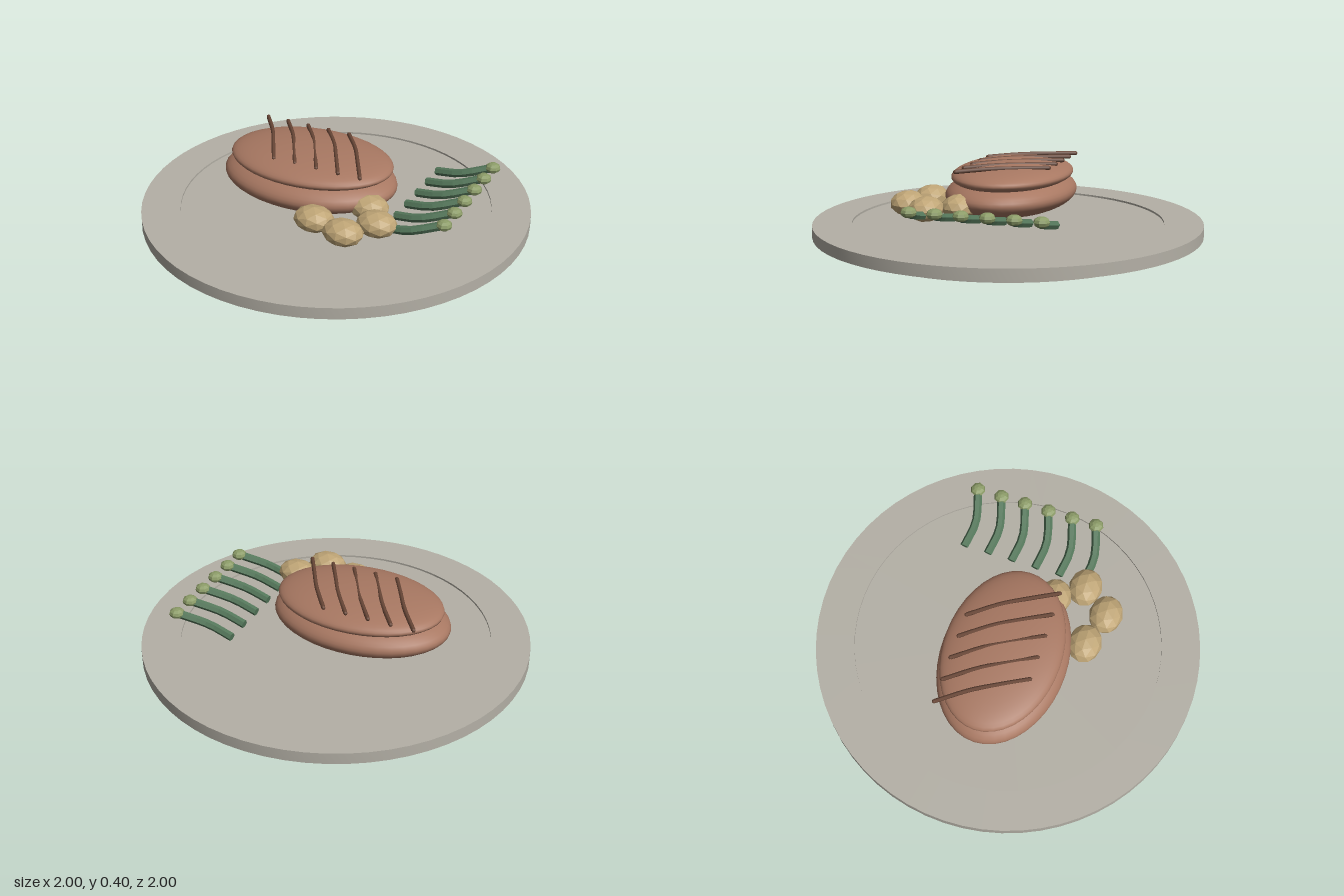
import * as THREE from 'three';
import { toCreasedNormals } from 'three/addons/utils/BufferGeometryUtils.js';

const paint = (name, color, extra = {}) => {
  const m = new THREE.MeshStandardMaterial({ color, ...extra });
  m.name = name;
  return m;
};

export function createModel() {
  const stone = paint('stone', 0xb4b0a6);
  const meat = paint('meat', 0xa87862);
  const char = paint('char', 0x6a4838);
  const potatoSkin = paint('potatoSkin', 0xbfa576, { flatShading: true });
  const stalkGreen = paint('stalkGreen', 0x56795c, { flatShading: true, side: THREE.DoubleSide });
  const tipGreen = paint('tipGreen', 0x8c9c68, { flatShading: true });

  const model = new THREE.Group();
  model.name = 'dinnerPlate';
  const add = (parent, name, geometry, material, position = [0, 0, 0], scale = [1, 1, 1]) => {
    const mesh = new THREE.Mesh(geometry, material);
    mesh.name = name;
    mesh.position.set(...position);
    mesh.scale.set(...scale);
    parent.add(mesh);
    return mesh;
  };
  const group = (name) => {
    const g = new THREE.Group();
    g.name = name;
    model.add(g);
    return g;
  };

  // Plate: stepped foot, broad rim and a very shallow well
  const profile = [[0, 0], [0.87, 0], [0.87, 0.04], [1, 0.04], [1, 0.1], [0.8, 0.1], [0.8, 0.09], [0, 0.09]]
    .map(([x, y]) => new THREE.Vector2(x, y));
  add(model, 'plate', toCreasedNormals(new THREE.LatheGeometry(profile, 64), 0.5), stone);

  // Steak: two stacked flattened ellipsoids
  const steak = group('steak');
  const ball = new THREE.SphereGeometry(1, 40, 24);
  add(steak, 'steakBottom', ball, meat, [-0.135, 0.23, 0.025], [0.47, 0.115, 0.325]);
  add(steak, 'steakTop', ball, meat, [-0.13, 0.325, 0.017], [0.44, 0.07, 0.3]);

  // Grill marks: gently bowed diagonal bars, half sunk into the meat
  const marks = group('grillMarks');
  const markPath = new THREE.CatmullRomCurve3([
    new THREE.Vector3(-0.13, 0.379, -0.21),
    new THREE.Vector3(-0.02, 0.386, -0.06),
    new THREE.Vector3(0.05, 0.386, 0.06),
    new THREE.Vector3(0.13, 0.378, 0.2),
  ]);
  const markGeometry = new THREE.TubeGeometry(markPath, 12, 0.011, 6);
  const markCap = new THREE.SphereGeometry(0.011, 6, 4);
  for (let i = 0; i < 5; i++) {
    const x = -0.38 + i * 0.12;
    add(marks, 'grillMark', markGeometry, char, [x, 0, 0]);
    for (const t of [0, 1]) {
      const p = markPath.getPoint(t);
      add(marks, 'grillMarkEnd', markCap, char, [p.x + x, p.y, p.z]);
    }
  }

  // Potatoes
  const potatoes = group('potatoes');
  const potatoGeometry = new THREE.IcosahedronGeometry(1, 1);
  for (const [x, z] of [[0.075, 0.39], [0.26, 0.445], [0.37, 0.3], [0.265, 0.165]]) {
    add(potatoes, 'potato', potatoGeometry, potatoSkin, [x, 0.21, z], [0.105, 0.064, 0.088]);
  }

  // Asparagus: bent stalks with a rounded tip
  const asparagus = group('asparagus');
  const stalkPath = new THREE.CatmullRomCurve3([
    new THREE.Vector3(0.4, 0.185, 0.025),
    new THREE.Vector3(0.54, 0.213, 0.042),
    new THREE.Vector3(0.7, 0.262, 0),
  ]);
  const stalkGeometry = new THREE.TubeGeometry(stalkPath, 6, 0.022, 6);
  const tipGeometry = new THREE.SphereGeometry(1, 8, 6);
  // Cut end of each stalk, facing back along its path
  const cutGeometry = new THREE.CircleGeometry(0.022, 6);
  const cutNormal = stalkPath.getTangent(0).negate();
  for (let i = 0; i < 6; i++) {
    const z = -0.405 + i * 0.131;
    add(asparagus, 'stalk', stalkGeometry, stalkGreen, [0, 0, z]);
    add(asparagus, 'stalkCut', cutGeometry, stalkGreen, [0.4, 0.185, z + 0.025])
      .quaternion.setFromUnitVectors(new THREE.Vector3(0, 0, 1), cutNormal);
    add(asparagus, 'tip', tipGeometry, tipGreen, [0.7, 0.263, z], [0.04, 0.027, 0.04]);
  }

  return model;
}
